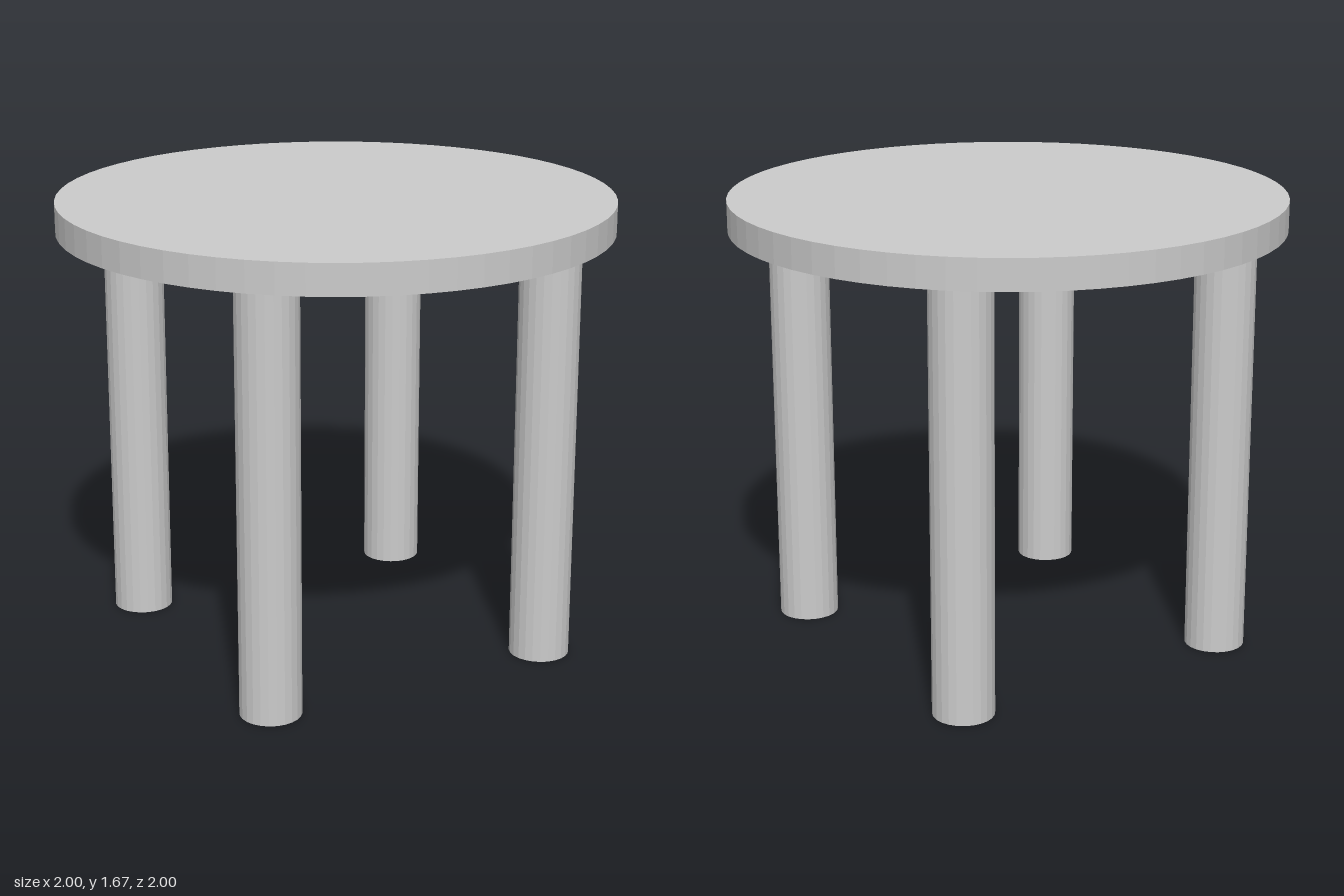
import * as THREE from 'three';

const TOP_RADIUS = 1, TOP_THICKNESS = 0.11;
const LEG_RADIUS = 0.11, LEG_HEIGHT = 1.56, LEG_OFFSET = 0.555;

export function createModel() {
  const table = new THREE.Group();
  table.name = 'roundTable';
  const material = new THREE.MeshStandardMaterial({ color: 0xcccccc, flatShading: true });

  // Round slab resting on the legs
  const top = new THREE.Mesh(
    new THREE.CylinderGeometry(TOP_RADIUS, TOP_RADIUS, TOP_THICKNESS, 64), material);
  top.name = 'tableTop';
  top.position.y = LEG_HEIGHT + TOP_THICKNESS / 2;
  table.add(top);

  // Four straight round legs on a square
  const legGeometry = new THREE.CylinderGeometry(LEG_RADIUS, LEG_RADIUS, LEG_HEIGHT, 24);
  for (const [zName, z] of [['front', 1], ['back', -1]]) {
    for (const [xName, x] of [['Left', 1], ['Right', -1]]) {
      const leg = new THREE.Mesh(legGeometry, material);
      leg.name = `${zName}${xName}Leg`;
      leg.position.set(x * LEG_OFFSET, LEG_HEIGHT / 2, z * LEG_OFFSET);
      table.add(leg);
    }
  }
  return table;
}
